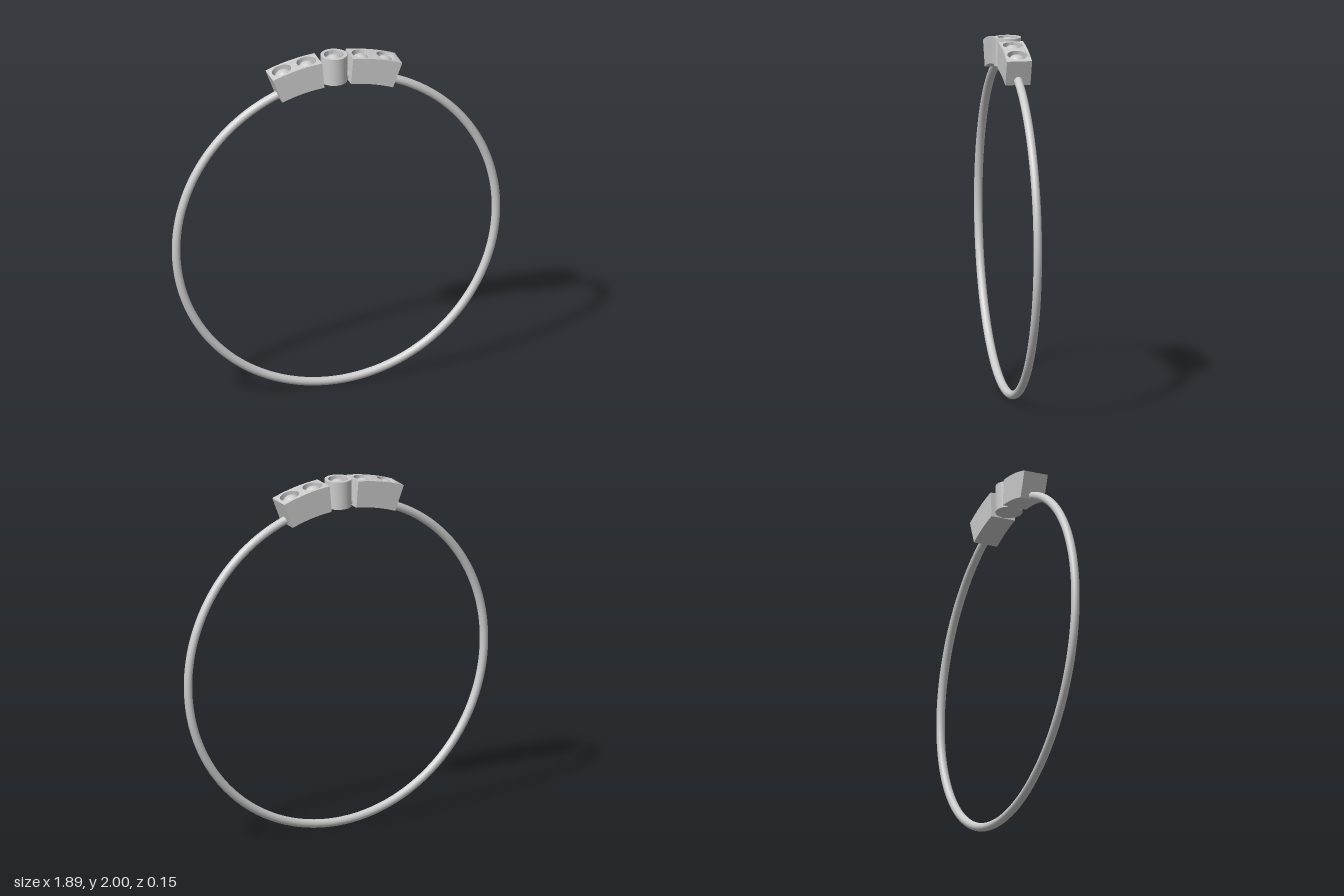
import * as THREE from 'three';
import { toCreasedNormals } from 'three/addons/utils/BufferGeometryUtils.js';

const material = new THREE.MeshStandardMaterial({ color: 0xcccccc });

const RING_Y = 0.945;      // height of the ring centre
const HEAD_X = -0.0125;    // the settings sit slightly off centre
const R_IN = 0.898, R_SEAT = 0.993, R_OUT = 1.048; // radii of the curved blocks
const HALF_WIDTH = 0.07;
const STONE_R = 0.055;
const A_START = THREE.MathUtils.degToRad(4.9);
const A_END = THREE.MathUtils.degToRad(20.8);
const STONE_ANGLES = [8.75, 16.75].map(THREE.MathUtils.degToRad);

function add(parent, name, geometry) {
  const mesh = new THREE.Mesh(geometry, material);
  mesh.name = name;
  parent.add(mesh);
  return mesh;
}

// Solid lower part of a block: an arc segment extruded across the width
function blockBase(a0, a1) {
  const shape = new THREE.Shape();
  shape.absarc(0, 0, R_SEAT, Math.PI / 2 - a0, Math.PI / 2 - a1, true);
  shape.absarc(0, 0, R_IN, Math.PI / 2 - a1, Math.PI / 2 - a0, false);
  const geo = new THREE.ExtrudeGeometry(shape, { depth: 2 * HALF_WIDTH, bevelEnabled: false, curveSegments: 12 });
  geo.translate(0, 0, -HALF_WIDTH);
  return toCreasedNormals(geo, 0.5);
}

// Drilled upper part of a block: a flat plate with holes, bent around the ring centre
function blockTop(a0, a1, stoneAngles) {
  const n = 12;
  const outline = [];
  for (let i = 0; i <= n; i++) outline.push(new THREE.Vector2(R_OUT * (a0 + (a1 - a0) * i / n), -HALF_WIDTH));
  for (let i = n; i >= 0; i--) outline.push(new THREE.Vector2(R_OUT * (a0 + (a1 - a0) * i / n), HALF_WIDTH));
  const shape = new THREE.Shape(outline);
  for (const a of stoneAngles) {
    const hole = new THREE.Path();
    hole.absarc(R_OUT * a, 0, STONE_R, 0, Math.PI * 2, true);
    shape.holes.push(hole);
  }
  const geo = new THREE.ExtrudeGeometry(shape, { depth: R_OUT - R_SEAT, bevelEnabled: false, curveSegments: 20 });
  const p = geo.attributes.position;
  for (let i = 0; i < p.count; i++) {
    const a = p.getX(i) / R_OUT, r = R_SEAT + p.getZ(i);
    p.setXYZ(i, r * Math.sin(a), r * Math.cos(a), -p.getY(i));
  }
  return toCreasedNormals(geo, 0.5);
}

// Round stone resting in its seat, its dome just below the rim
function addStone(parent, x, y, tilt) {
  const stone = add(parent, 'stone', new THREE.SphereGeometry(STONE_R - 0.001, 32, 20));
  stone.position.set(x, y, 0);
  stone.rotation.z = -tilt;
}

export function createModel() {
  const model = new THREE.Group();
  model.name = 'ring';

  // Band
  add(model, 'band', new THREE.TorusGeometry(0.922, 0.0235, 20, 128)).position.y = RING_Y;

  // Settings
  const head = new THREE.Group();
  head.name = 'head';
  head.position.set(HEAD_X, RING_Y, 0);
  model.add(head);

  // Curved blocks with two stones each
  for (const side of [-1, 1]) {
    const block = new THREE.Group();
    block.name = side > 0 ? 'leftBlock' : 'rightBlock';
    head.add(block);
    const [a0, a1] = side > 0 ? [A_START, A_END] : [-A_END, -A_START];
    const angles = STONE_ANGLES.map((a) => side * a);
    add(block, 'blockBase', blockBase(a0, a1));
    add(block, 'blockTop', blockTop(a0, a1, angles));
    for (const a of angles) addStone(block, R_SEAT * Math.sin(a), R_SEAT * Math.cos(a), a);
  }

  // Central round cup with its stone
  const bottom = 1.843 - RING_Y, top = 2 - RING_Y, floor = top - 0.055;
  const profile = [[0, bottom], [0.074, bottom], [0.074, top], [STONE_R, top], [STONE_R, floor], [0, floor]];
  const cup = new THREE.LatheGeometry(profile.map(([x, y]) => new THREE.Vector2(x, y)), 40);
  add(head, 'centreCup', toCreasedNormals(cup, 0.5));
  addStone(head, 0, floor, 0);

  return model;
}
